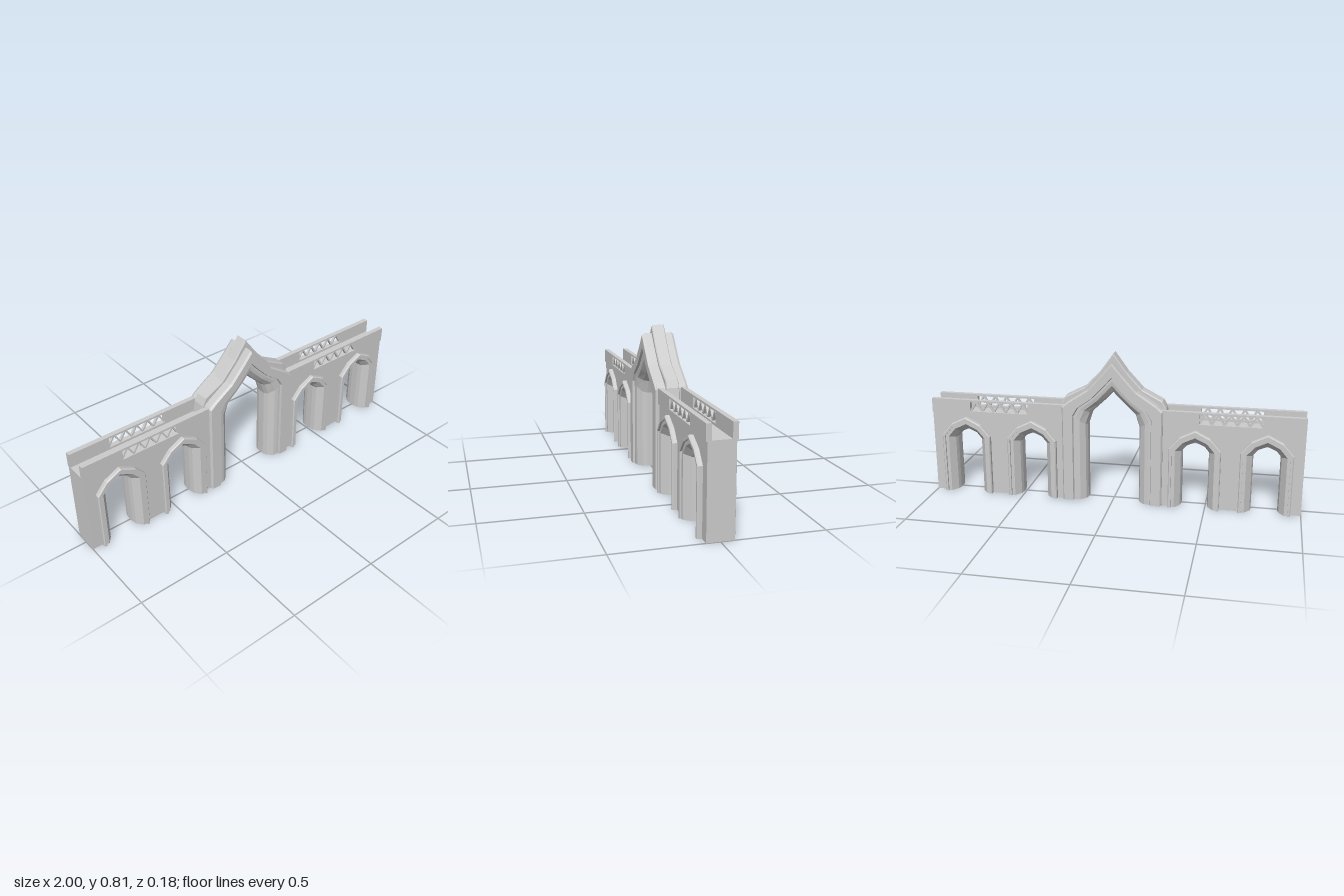
import * as THREE from 'three';

const stone = new THREE.MeshStandardMaterial({ color: 0xcccccc, flatShading: true, side: THREE.DoubleSide });

function add(parent, name, geometry, x = 0, y = 0, z = 0) {
  const mesh = new THREE.Mesh(geometry, stone);
  mesh.name = name;
  mesh.position.set(x, y, z);
  parent.add(mesh);
  return mesh;
}

// Half outline (right foot to apex) completed by its mirror image
const mirrored = (half) => [...half, ...half.slice(0, -1).reverse().map(([x, y]) => [-x, y])];

const shapeOf = (points) => new THREE.Shape(points.map(([x, y]) => new THREE.Vector2(x, y)));

function extrude(shape, depth) {
  return new THREE.ExtrudeGeometry(shape, { depth, bevelEnabled: false }).translate(0, 0, -depth / 2);
}

// Moulded arch: the profile gives [t, z], with t = 0 on the inner outline and 1 on the outer
function archGeometry(innerHalf, outerHalf, frontProfile) {
  const inner = mirrored(innerHalf), outer = mirrored(outerHalf);
  const back = [...frontProfile].reverse().map(([t, z]) => [t, -z]);
  const profile = [...frontProfile, ...back];
  const n = profile.length, pos = [];
  const point = (i, j) => {
    const [t, z] = profile[j % n];
    return [
      THREE.MathUtils.lerp(inner[i][0], outer[i][0], t),
      THREE.MathUtils.lerp(inner[i][1], outer[i][1], t),
      z,
    ];
  };
  const tri = (a, b, c) => pos.push(...a, ...b, ...c);
  const last = inner.length - 1;
  for (let i = 0; i < last; i++) {
    for (let j = 0; j < n; j++) {
      const a = point(i, j), b = point(i + 1, j), c = point(i + 1, j + 1), d = point(i, j + 1);
      tri(a, b, d);
      tri(b, c, d);
    }
  }
  // Feet
  const faces = THREE.ShapeUtils.triangulateShape(profile.map(([t, z]) => new THREE.Vector2(t, z)), []);
  for (const [a, b, c] of faces) {
    tri(point(0, a), point(0, b), point(0, c));
    tri(point(last, c), point(last, b), point(last, a));
  }
  const geometry = new THREE.BufferGeometry();
  geometry.setAttribute('position', new THREE.Float32BufferAttribute(pos, 3));
  geometry.computeVertexNormals();
  return geometry;
}

// Small side arches
const sideInner = [[0.07, 0], [0.07, 0.305], [0.045, 0.335], [0, 0.355]];
const sideOuter = [[0.136, 0], [0.136, 0.33], [0.082, 0.393], [0, 0.434]];
const sideProfile = [[1, 0.084], [0.93, 0.09], [0.76, 0.09], [0.76, 0.08], [0.5, 0.08], [0.08, 0.045], [0, 0.02]];
const sideCentres = [0.44, 0.81];

// Large pointed arch
const mainInner = [[0.14, 0], [0.14, 0.42], [0.117, 0.49], [0.07, 0.535], [0.03, 0.573], [0, 0.605]];
const mainOuter = [[0.27, 0], [0.27, 0.525], [0.24, 0.55], [0.13, 0.622], [0.055, 0.705], [0, 0.77]];
const mainProfile = [[1, 0.074], [0.94, 0.086], [0.55, 0.086], [0.52, 0.074], [0.42, 0.074], [0.27, 0.07], [0.06, 0.045], [0, 0.02]];

// Parapet with a pierced zigzag panel
function addParapet(bay, z) {
  const x0 = 0.458, x1 = 0.782, y0 = 0.467, y1 = 0.52, depth = 0.026;
  const shape = shapeOf([[0.25, 0.45], [1, 0.45], [1, 0.53], [0.25, 0.53]]);
  shape.holes.push(shapeOf([[x0, y0], [x0, y1], [x1, y1], [x1, y0]]));
  add(bay, 'parapet', extrude(shape, depth), 0, 0, z);
  const count = 10, step = (x1 - x0) / count, rise = y1 - y0;
  for (let i = 0; i < count; i++) {
    const bar = add(bay, 'latticeBar', new THREE.BoxGeometry(Math.hypot(step, rise), 0.009, 0.014),
      x0 + (i + 0.5) * step, (y0 + y1) / 2, z);
    bar.rotation.z = Math.atan2(rise, step) * (i % 2 ? -1 : 1);
  }
}

// One side: pierced wall, two arches and a parapet along each edge
function createBay() {
  const bay = new THREE.Group();
  bay.name = 'sideBay';
  const outline = [[0.25, 0.455], [0.25, 0]];
  for (const cx of sideCentres) {
    outline.push(...mirrored(sideOuter).reverse().map(([x, y]) => [cx + x, y]));
  }
  outline.push([1, 0], [1, 0.455]);
  add(bay, 'wall', extrude(shapeOf(outline), 0.132));
  for (const cx of sideCentres) add(bay, 'sideArch', archGeometry(sideInner, sideOuter, sideProfile), cx);
  for (const z of [0.06, -0.06]) addParapet(bay, z);
  return bay;
}

export function createModel() {
  const model = new THREE.Group();
  model.name = 'arcadeBridge';

  for (const turn of [0, Math.PI]) {
    const bay = createBay();
    bay.rotation.y = turn;
    model.add(bay);
  }

  add(model, 'mainArch', archGeometry(mainInner, mainOuter, mainProfile));

  // Narrow crest riding over the large arch
  const crestOuter = [[0.295, 0.455], [0.282, 0.53], [0.262, 0.568], [0.153, 0.625], [0.07, 0.715], [0, 0.812]];
  const crestInner = [[0.22, 0.455], [0.22, 0.5], [0.2, 0.53], [0.12, 0.58], [0.05, 0.67], [0, 0.73]];
  add(model, 'crest', archGeometry(crestInner, crestOuter, [[1, 0.03], [0.9, 0.034], [0, 0.034]]));

  return model;
}
